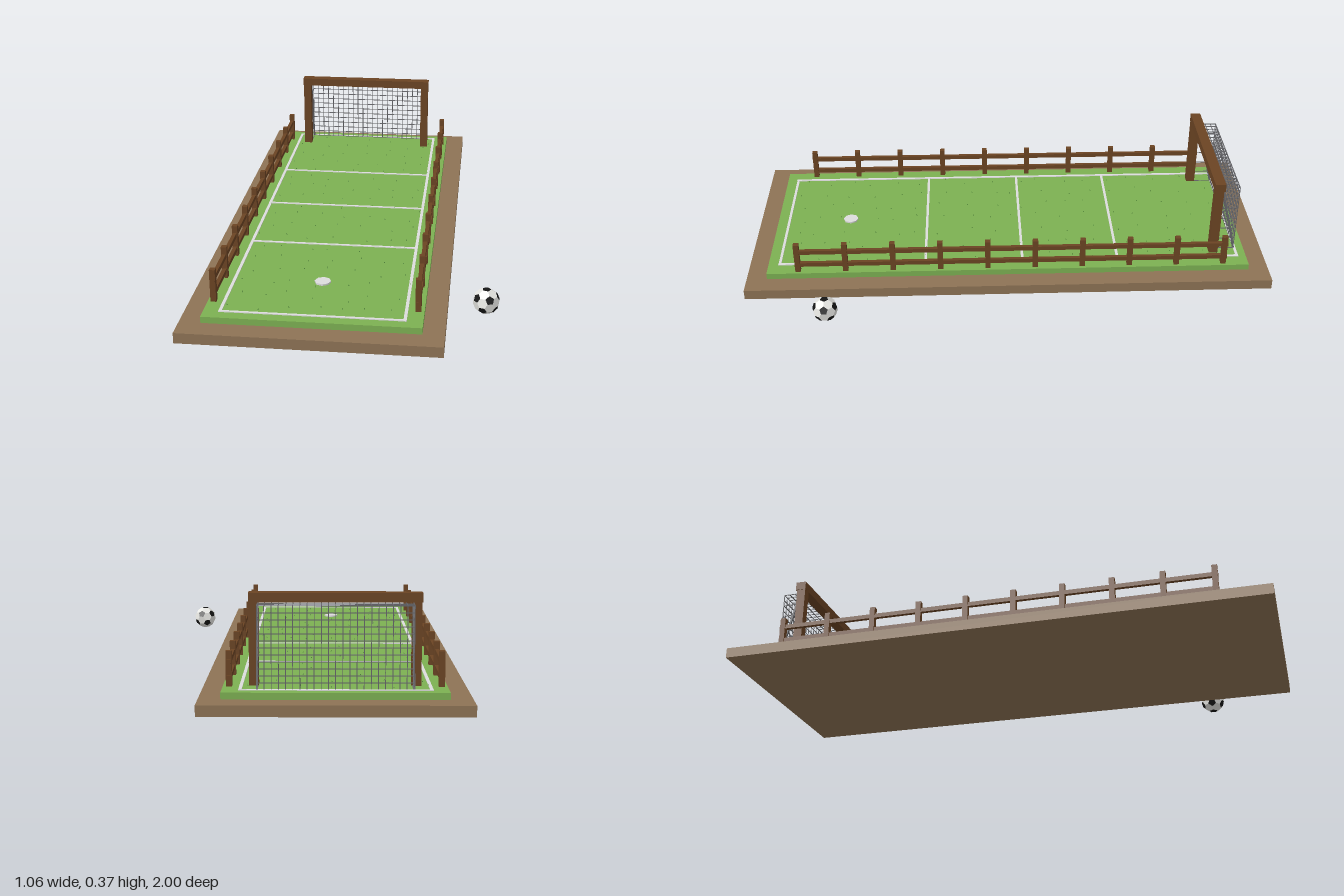
import * as THREE from 'three';
import { mergeGeometries } from 'three/addons/utils/BufferGeometryUtils.js';

const mat = (name, color) => Object.assign(new THREE.MeshStandardMaterial({ color }), { name });

// Box geometry from its minimum and maximum corners
function span(x0, x1, y0, y1, z0, z1) {
  return new THREE.BoxGeometry(x1 - x0, y1 - y0, z1 - z0)
    .translate((x0 + x1) / 2, (y0 + y1) / 2, (z0 + z1) / 2);
}

// Straight square wire or bar between two points
function bar(a, b, t) {
  const A = new THREE.Vector3(...a), B = new THREE.Vector3(...b);
  const q = new THREE.Quaternion().setFromUnitVectors(
    new THREE.Vector3(0, 1, 0), B.clone().sub(A).normalize());
  const mid = A.clone().add(B).multiplyScalar(0.5);
  return new THREE.BoxGeometry(t, A.distanceTo(B), t).applyQuaternion(q).translate(mid.x, mid.y, mid.z);
}

// Fan of triangles around a convex ring, turned to face away from the origin
function polygon(ring, out) {
  const n = ring[1].clone().sub(ring[0]).cross(ring[2].clone().sub(ring[0]));
  const r = n.dot(ring[0]) < 0 ? ring.slice().reverse() : ring;
  for (let i = 1; i < r.length - 1; i++) out.push(r[0], r[i], r[i + 1]);
}

// Truncated icosahedron: pentagons at the corners, hexagons on the faces
function ballGeometries(radius) {
  const v = [new THREE.Vector3(0, 1, 0), new THREE.Vector3(0, -1, 0)];
  const h = 1 / Math.sqrt(5), w = 2 * h;
  for (let i = 0; i < 5; i++) {
    const a = i * Math.PI * 0.4, b = a + Math.PI / 5;
    v.push(new THREE.Vector3(w * Math.cos(a), h, w * Math.sin(a)));
    v.push(new THREE.Vector3(w * Math.cos(b), -h, w * Math.sin(b)));
  }
  const near = (i, j) => i !== j && v[i].distanceTo(v[j]) < 1.1;
  const cut = (i, j) => v[i].clone().lerp(v[j], 1 / 3).setLength(radius);
  const pent = [], hex = [];
  for (let i = 0; i < 12; i++) {
    // neighbours sorted by angle around the corner
    const nb = [...v.keys()].filter(j => near(i, j));
    const u = v[nb[0]].clone().projectOnPlane(v[i]).normalize(), s = v[i].clone().cross(u);
    const angle = j => Math.atan2(v[j].dot(s), v[j].dot(u));
    nb.sort((a, b) => angle(a) - angle(b));
    polygon(nb.map(j => cut(i, j)), pent);
    for (let j = i + 1; j < 12; j++) for (let k = j + 1; k < 12; k++) {
      if (near(i, j) && near(j, k) && near(i, k)) {
        polygon([cut(i, j), cut(j, i), cut(j, k), cut(k, j), cut(k, i), cut(i, k)], hex);
      }
    }
  }
  return [pent, hex].map(pts => {
    const g = new THREE.BufferGeometry().setFromPoints(pts);
    g.computeVertexNormals();
    return g;
  });
}

export function createModel() {
  const model = new THREE.Group();
  model.name = 'footballPitch';
  const soil = mat('soil brown', 0x8d7355);
  const grass = mat('grass green', 0x7cb052);
  const tuft = mat('tuft green', 0x4f8a35);
  const wood = mat('wood brown', 0x6b4423);
  const paint = mat('line white', 0xdcdcdc);
  const wire = mat('net grey', 0x66666a);
  const white = mat('ball white', 0xeeeeea);
  const black = mat('ball black', 0x151515);

  const add = (name, geometry, material, parent = model) => {
    const m = new THREE.Mesh(geometry, material);
    m.name = name;
    parent.add(m);
    return m;
  };
  const group = name => {
    const g = new THREE.Group();
    g.name = name;
    model.add(g);
    return g;
  };

  // Ground slab and turf
  const cx = -0.088;
  add('base', span(-0.532, 0.355, 0, 0.038, -1, 1), soil);
  add('turf', span(-0.458, 0.281, 0.038, 0.061, -0.923, 0.923), grass);

  // Painted lines and penalty spot
  const lines = group('lines');
  const y0 = 0.0605, y1 = 0.064, lx0 = -0.406, lx1 = 0.226;
  for (const x of [lx0, lx1 - 0.011]) add('sideLine', span(x, x + 0.011, y0, y1, -0.893, 0.885), paint, lines);
  for (const z of [-0.888, -0.422, -0.054, 0.32, 0.879]) {
    add('crossLine', span(lx0 + 0.011, lx1 - 0.011, y0, y1, z - 0.005, z + 0.005), paint, lines);
  }
  add('penaltySpot', new THREE.CylinderGeometry(0.029, 0.029, 0.006, 8), paint, lines).position.set(cx, 0.064, 0.63);

  // Small grass tufts scattered over the turf
  let seed = 7;
  const rand = () => (seed = (seed * 16807) % 2147483647) / 2147483647;
  const tufts = [];
  for (let i = 0; i < 7; i++) for (let j = 0; j < 18; j++) {
    tufts.push(new THREE.ConeGeometry(0.002, 0.006, 4).translate(
      -0.37 + i * 0.094 + (rand() - 0.5) * 0.05, 0.064, -0.84 + j * 0.099 + (rand() - 0.5) * 0.06));
  }
  add('grassTufts', mergeGeometries(tufts), tuft);

  // Post and rail fences along both sides
  for (const [name, x] of [['leftFence', 0.26], ['rightFence', -0.438]]) {
    const fence = group(name);
    for (let i = 0; i < 10; i++) {
      const z = -0.825 + i * 0.181;
      add('fencePost', span(x - 0.01, x + 0.01, 0.06, 0.18, z - 0.01, z + 0.01), wood, fence);
    }
    for (const y of [0.09, 0.145]) {
      add('fenceRail', span(x - 0.007, x + 0.007, y - 0.008, y + 0.008, -0.838, 0.815), wood, fence);
    }
  }

  // Goal frame
  const goal = group('goal');
  for (const x of [-0.356, 0.179]) {
    add('goalPost', span(x - 0.016, x + 0.016, 0.06, 0.338, -0.817, -0.783), wood, goal);
  }
  add('crossbar', span(-0.374, 0.196, 0.338, 0.37, -0.822, -0.782), wood, goal);

  // Net: back, top and side panels of thin wire, with sloping stays
  const nx0 = -0.343, nx1 = 0.165, front = -0.818, back = -0.884, low = 0.062, high = 0.337, t = 0.0026;
  const wires = [];
  for (let i = 0; i <= 22; i++) {
    const x = nx0 + (nx1 - nx0) * i / 22;
    wires.push(bar([x, low, back], [x, high, back], t), bar([x, high, front], [x, high, back], t));
  }
  for (let i = 0; i <= 12; i++) {
    const y = low + (high - low) * i / 12;
    wires.push(bar([nx0, y, back], [nx1, y, back], t));
    if (i % 2 === 0) for (const x of [nx0, nx1]) wires.push(bar([x, y, front], [x, y, back], t));
  }
  for (let i = 1; i < 3; i++) {
    const z = front + (back - front) * i / 3;
    wires.push(bar([nx0, high, z], [nx1, high, z], t));
  }
  add('net', mergeGeometries(wires), wire, goal);
  for (const x of [nx0, nx1]) add('netStay', bar([x, 0.33, front], [x, 0.063, back], 0.007), wire, goal);

  // Ball beside the pitch
  const ball = group('ball');
  const [pent, hex] = ballGeometries(0.0465);
  add('darkPanels', pent, black, ball);
  add('lightPanels', hex, white, ball);
  ball.position.set(0.485, 0.047, 0.682);

  return model;
}
